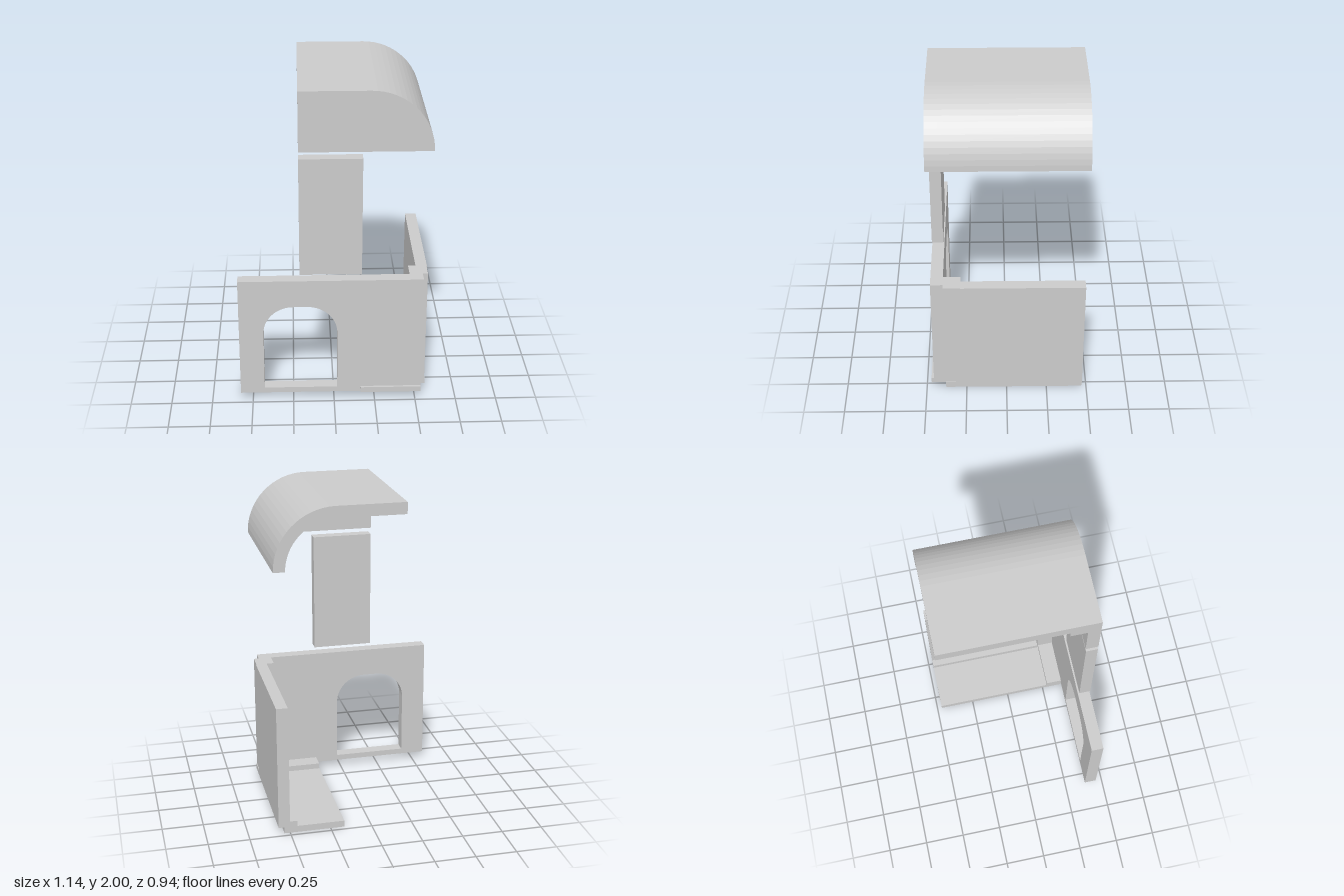
import * as THREE from 'three';

const mat = new THREE.MeshStandardMaterial({ color: 0xcccccc, flatShading: true });

export function createModel() {
  const model = new THREE.Group();

  const add = (parent, name, geometry) => {
    const mesh = new THREE.Mesh(geometry, mat);
    mesh.name = name;
    parent.add(mesh);
    return mesh;
  };
  const group = (name) => {
    const g = new THREE.Group();
    g.name = name;
    model.add(g);
    return g;
  };
  // Box given by its lower and upper limits on each axis
  const box = (parent, name, [x0, x1], [y0, y1], [z0, z1]) =>
    add(parent, name, new THREE.BoxGeometry(x1 - x0, y1 - y0, z1 - z0))
      .position.set((x0 + x1) / 2, (y0 + y1) / 2, (z0 + z1) / 2);
  // Outline in x and y, extruded from z0 to z1
  const slab = (parent, name, shape, z0, z1, curveSegments) =>
    add(parent, name, new THREE.ExtrudeGeometry(shape, { depth: z1 - z0, bevelEnabled: false, curveSegments }))
      .position.z = z0;

  const back = -0.47, inner = 0.38, front = 0.455;

  // Floor tray with a raised L-shaped rim
  const floor = group('floor');
  box(floor, 'floorPanel', [0.165, 0.535], [0, 0.04], [back, inner]);
  box(floor, 'floorFrontRim', [0.165, 0.535], [0.04, 0.075], [0.28, 0.47]);
  box(floor, 'floorSideRim', [0.455, 0.505], [0.04, 0.075], [back, 0.28]);

  // Side wall, with a corner post set slightly in from its outer face
  const side = group('sideWall');
  box(side, 'sidePanel', [0.50, 0.57], [0.04, 0.815], [back, 0.275]);
  box(side, 'cornerSill', [0.50, 0.57], [0.04, 0.075], [0.275, inner]);
  box(side, 'cornerPost', [0.455, 0.566], [0.075, 0.815], [0.275, inner]);

  // Front wall with an arched doorway
  const wall = new THREE.Shape();
  wall.moveTo(-0.575, 0.04);
  wall.lineTo(0.535, 0.04);
  wall.lineTo(0.535, 0.815);
  wall.lineTo(-0.575, 0.815);
  wall.closePath();
  const r = 0.18, doorL = -0.427, doorR = 0.02, spring = 0.46;
  const door = new THREE.Path();
  door.moveTo(doorL, 0.075);
  door.lineTo(doorR, 0.075);
  door.lineTo(doorR, spring);
  door.absarc(doorR - r, spring, r, 0, Math.PI / 2, false);
  door.absarc(doorL + r, spring, r, Math.PI / 2, Math.PI, false);
  door.closePath();
  wall.holes.push(door);
  slab(model, 'frontWall', wall, inner, front, 12);

  // Upright panel above the wall
  box(model, 'uprightPanel', [-0.205, 0.165], [0.858, 1.595], [0.385, front]);

  // Roof: curved shell, inner lip and closed front
  const roof = group('roof');
  const cx = 0.207, cy = 1.637, left = -0.205, outerR = 0.363;
  const band = (r0, r1) => {
    const s = new THREE.Shape();
    s.moveTo(left, cy + r0);
    s.lineTo(cx, cy + r0);
    s.absarc(cx, cy, r0, Math.PI / 2, 0, true);
    s.lineTo(cx + r1, cy);
    s.absarc(cx, cy, r1, 0, Math.PI / 2, false);
    s.lineTo(left, cy + r1);
    s.closePath();
    return s;
  };
  const end = new THREE.Shape();
  end.moveTo(left, cy);
  end.lineTo(cx + outerR, cy);
  end.absarc(cx, cy, outerR, 0, Math.PI / 2, false);
  end.lineTo(left, cy + outerR);
  end.closePath();
  slab(roof, 'roofShell', band(outerR - 0.07, outerR), back, inner, 8);
  slab(roof, 'roofLip', band(outerR - 0.112, outerR - 0.07), 0.28, inner, 8);
  slab(roof, 'roofFront', end, inner, front, 8);

  return model;
}
